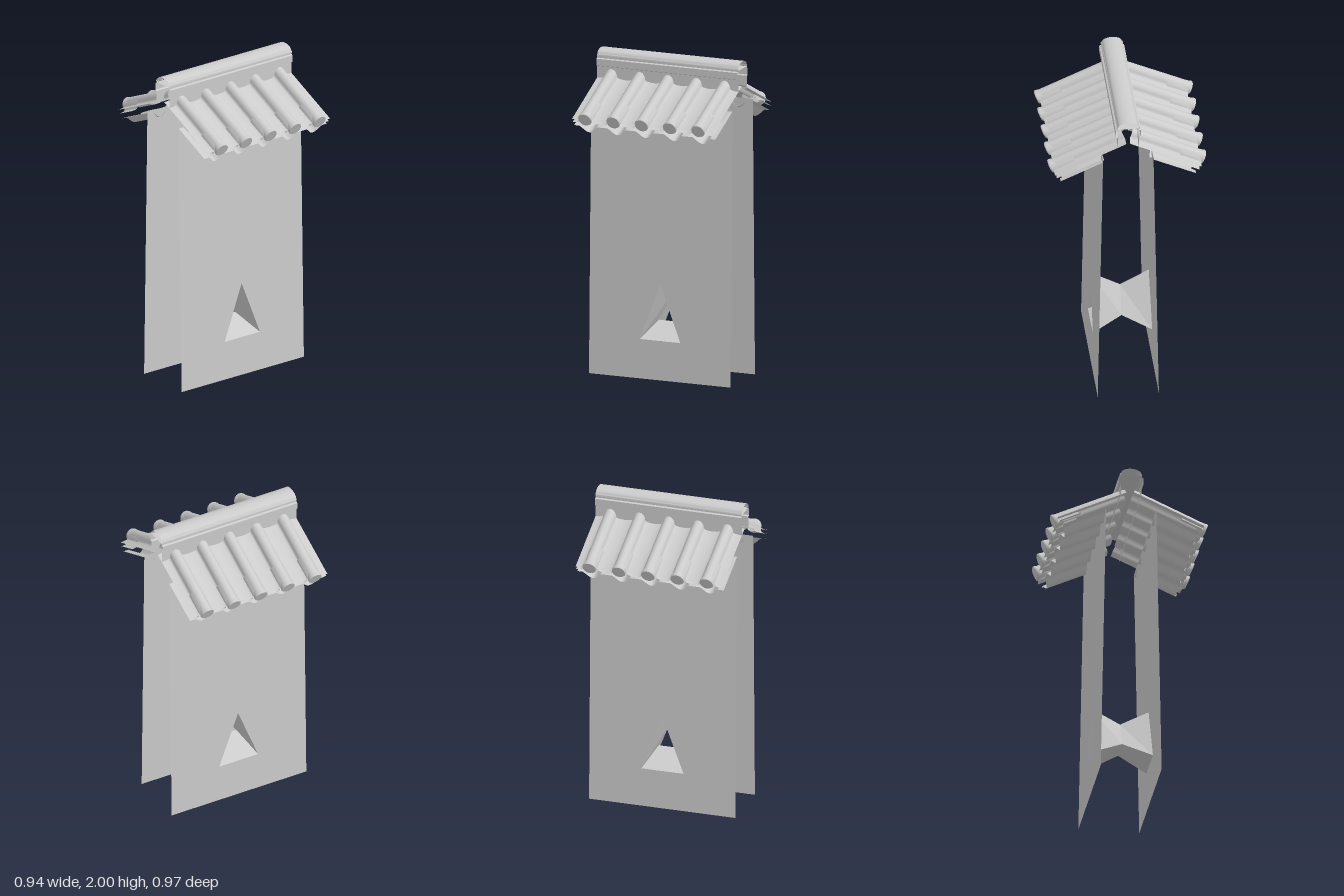
import * as THREE from 'three';

const mat = new THREE.MeshStandardMaterial({ color: 0xcccccc, side: THREE.DoubleSide });
const flatMat = new THREE.MeshStandardMaterial({ color: 0xcccccc, side: THREE.DoubleSide, flatShading: true });
const HALF = 0.469, PITCH = 0.1875, TILES = [-2, -1, 0, 1, 2];
const SLOPE = 0.428, ROOF_Y = 1.868;
const wallZ = y => 0.187 - 0.019 * y; // walls lean slightly inward

function mesh(name, geo, material = mat) {
  const m = new THREE.Mesh(geo, material);
  m.name = name;
  return m;
}

// Skin between equally long rows of [x, y, z] points
function loft(rows, closed = false) {
  const n = rows[0].length, idx = [];
  const last = closed ? n : n - 1;
  for (let r = 0; r < rows.length - 1; r++) {
    for (let i = 0; i < last; i++) {
      const j = (i + 1) % n, a = r * n + i, b = r * n + j;
      idx.push(a, a + n, b, b, a + n, b + n);
    }
  }
  const g = new THREE.BufferGeometry();
  g.setAttribute('position', new THREE.Float32BufferAttribute(rows.flat(2), 3));
  g.setIndex(idx);
  g.computeVertexNormals();
  return g;
}

// One tile period: shallow pan, soft cove, then a round ridge
function tilePeriod(pan, radius, top) {
  const pts = [[-PITCH / 2, pan - 0.003], [-0.068, pan - 0.001], [-radius - 0.008, pan + 0.003]];
  for (let i = 0; i <= 10; i++) {
    const a = Math.PI * (1 - i / 10);
    pts.push([radius * Math.cos(a), pan + 0.01 + (top - pan - 0.01) * Math.sin(a)]);
  }
  pts.push([radius + 0.008, pan + 0.003], [0.068, pan - 0.001]);
  return pts;
}

// One period of the under course: flat with a rounded trough
function troughPeriod(flat, depth) {
  const pts = [[-PITCH / 2, flat]];
  for (let i = 0; i <= 12; i++) {
    const t = -1 + i / 6;
    pts.push([t * 0.06, flat - depth * Math.pow(Math.cos(t * Math.PI / 2), 1.3 )]);
  }
  return pts;
}

// Corrugated sheet running down the slope from z0 to z1
function sheet(period, z0, z1) {
  const line = TILES.flatMap(k => period.map(([x, y]) => [x + k * PITCH, y]));
  line.push([HALF, period[0][1]]);
  return loft([z0, z1].map(z => line.map(([x, y]) => [x, y, z])));
}

function roofSlope() {
  const g = new THREE.Group();
  g.name = 'roofSlope';
  g.position.y = ROOF_Y;
  g.rotation.x = SLOPE;
  g.add(mesh('roofTiles', sheet(tilePeriod(-0.012, 0.038, 0.041), 0.02, 0.5)));
  g.add(mesh('eaveStrip', sheet(tilePeriod(-0.036, 0.048, 0.036), 0.355, 0.498)));
  g.add(mesh('underTiles', sheet(troughPeriod(-0.07, 0.045), 0.205, 0.487)));

  // Flared round stops at the eave
  const profile = [[0.037, 0.46], [0.04, 0.485], [0.044, 0.503], [0.044, 0.51], [0.041, 0.515]]
    .map(p => new THREE.Vector2(...p));
  const stopGeo = new THREE.LatheGeometry(profile, 24).rotateX(Math.PI / 2);
  const discGeo = new THREE.CircleGeometry(0.041, 24).translate(0, 0, 0.515);
  for (const k of TILES) {
    const stop = new THREE.Group();
    stop.name = 'tileEnd';
    stop.position.x = k * PITCH;
    stop.add(mesh('tileCollar', stopGeo), mesh('tileDisc', discGeo));
    g.add(stop);
  }
  return g;
}

// Wall panel with a triangular opening
function wallPanel() {
  const s = new THREE.Shape([[-HALF, 0], [HALF, 0], [HALF, 1.73], [-HALF, 1.73]].map(p => new THREE.Vector2(...p)));
  s.holes.push(new THREE.Path([[-0.135, 0.245], [0, 0.595], [0.135, 0.245]].map(p => new THREE.Vector2(...p))));
  const geo = new THREE.ShapeGeometry(s), p = geo.attributes.position;
  for (let i = 0; i < p.count; i++) p.setZ(i, wallZ(p.getY(i)));
  geo.computeVertexNormals();
  return mesh('wallPanel', geo);
}

// Opening that narrows to the middle of the wall
function openingTunnel() {
  const outer = [[-0.135, 0.245], [0.135, 0.245], [0, 0.595]];
  const inner = [[-0.085, 0.33], [0.085, 0.33], [0, 0.5]];
  const rows = [
    outer.map(([x, y]) => [x, y, wallZ(y)]),
    inner.map(([x, y]) => [x, y, 0]),
    outer.map(([x, y]) => [x, y, -wallZ(y)]),
  ];
  return mesh('openingTunnel', loft(rows, true).toNonIndexed(), flatMat);
}

// Ridge: upright base, projecting band, groove and rounded cap
function ridge() {
  const g = new THREE.Group();
  g.name = 'ridge';
  const half = [[0.064, 1.815], [0.064, 1.895], [0.076, 1.9], [0.076, 1.942], [0.064, 1.947], [0.064, 1.955]];
  const across = pts => pts.map(([z, y]) => [[-HALF, y, z], [HALF, y, z]]);
  const base = [...half, ...half.slice().reverse().map(([z, y]) => [-z, y])];
  const baseGeo = loft(across(base)).toNonIndexed();
  baseGeo.computeVertexNormals();
  g.add(mesh('ridgeBase', baseGeo, flatMat));
  const cap = [[0.067, 1.955], [0.067, 1.968]];
  for (let i = 0; i <= 12; i++) {
    const a = Math.PI * i / 12;
    cap.push([0.062 * Math.cos(a), 1.968 + 0.032 * Math.sin(a)]);
  }
  cap.push([-0.067, 1.968], [-0.067, 1.955]);
  g.add(mesh('ridgeCap', loft(across(cap))));
  return g;
}

export function createModel() {
  const model = new THREE.Group();
  model.name = 'tiledWallSection';
  // Front and back halves are the same
  for (const turn of [0, Math.PI]) {
    const side = new THREE.Group();
    side.name = turn ? 'backSide' : 'frontSide';
    side.rotation.y = turn;
    side.add(wallPanel(), roofSlope());
    model.add(side);
  }
  model.add(openingTunnel(), ridge());
  return model;
}
